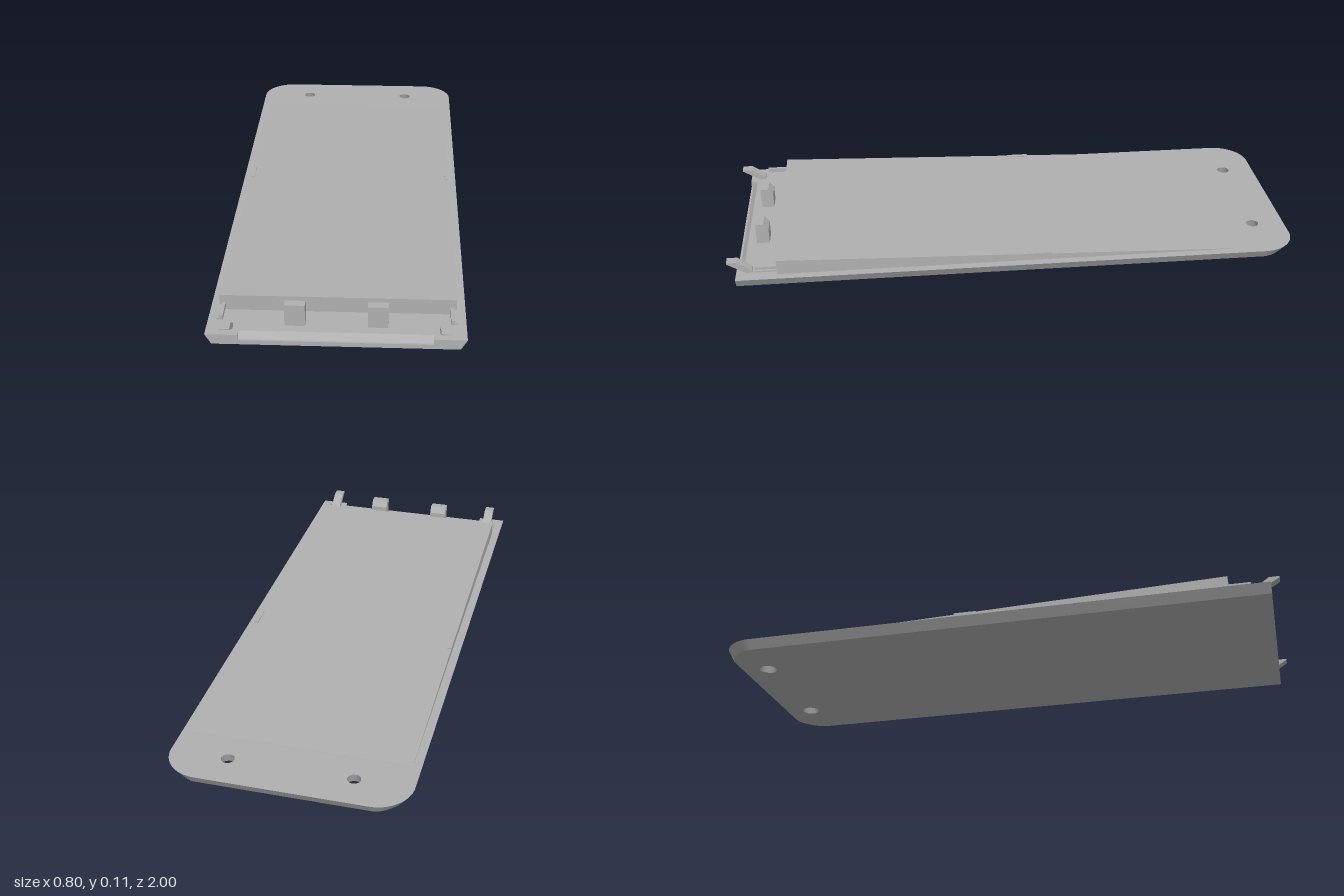
import * as THREE from 'three';
import { toCreasedNormals } from 'three/addons/utils/BufferGeometryUtils.js';

const HALF = 0.402, THICK = 0.034, FRONT = 0.97, LIP = 0.945;
const HOLE = { x: 0.208, z: -0.885, r: 0.022 };

export function createModel() {
  const group = new THREE.Group();
  const grey = new THREE.MeshStandardMaterial({ color: 0xb0b0b0 });
  grey.name = 'plastic grey';

  const add = (name, geometry) => {
    const mesh = new THREE.Mesh(geometry, grey);
    mesh.name = name;
    group.add(mesh);
    return mesh;
  };

  // Extrude a (z, y) profile across x, centred on cx
  const across = (name, points, width, cx = 0) => {
    const shape = new THREE.Shape(points.map(([z, y]) => new THREE.Vector2(z, y)));
    const g = new THREE.ExtrudeGeometry(shape, { depth: width, bevelEnabled: false });
    g.rotateY(-Math.PI / 2);
    g.translate(cx + width / 2, 0, 0);
    return add(name, g);
  };

  // Extrude a plan shape (x, -z) upward, draw in its lower rim, widen holes below
  const tapered = (name, shape) => {
    const g = new THREE.ExtrudeGeometry(shape, { depth: THICK, bevelEnabled: false, curveSegments: 20 });
    g.rotateX(-Math.PI / 2);
    const p = g.attributes.position;
    for (let i = 0; i < p.count; i++) {
      if (p.getY(i) > THICK / 2) continue;
      const x = p.getX(i), z = p.getZ(i), hx = Math.sign(x) * HOLE.x;
      if (Math.hypot(x - hx, z - HOLE.z) < HOLE.r * 1.2) {
        p.setX(i, hx + (x - hx) * 1.45);
        p.setZ(i, HOLE.z + (z - HOLE.z) * 1.45);
      } else {
        if (Math.abs(x) > 0.301) p.setX(i, x - Math.sign(x) * 0.02 * Math.min(1, (Math.abs(x) - 0.28) / 0.1));
        if (z < -0.85) p.setZ(i, z + 0.02 * Math.min(1, (-0.85 - z) / 0.12));
      }
    }
    g.computeVertexNormals();
    add(name, toCreasedNormals(g, 0.5));
  };

  // Base plate with rounded rear corners and two screw holes
  const r = 0.12;
  const plate = new THREE.Shape();
  plate.moveTo(-HALF, -LIP);
  plate.lineTo(HALF, -LIP);
  plate.lineTo(HALF, 1 - r);
  plate.absarc(HALF - r, 1 - r, r, 0, Math.PI / 2, false);
  plate.lineTo(-HALF + r, 1);
  plate.absarc(-HALF + r, 1 - r, r, Math.PI / 2, Math.PI, false);
  plate.lineTo(-HALF, -LIP);
  for (const s of [-1, 1]) {
    const hole = new THREE.Path();
    hole.absarc(s * HOLE.x, -HOLE.z, HOLE.r, 0, Math.PI * 2, true);
    plate.holes.push(hole);
  }
  tapered('basePlate', plate);

  // Front edge: sloping lip between two square corners
  across('frontLip', [[LIP, 0], [FRONT, 0], [FRONT, 0.015], [LIP + 0.018, 0.015], [LIP, THICK]], 0.6);
  for (const s of [-1, 1]) {
    const a = Math.min(s * 0.3, s * HALF), b = Math.max(s * 0.3, s * HALF);
    tapered('frontCorner', new THREE.Shape([
      new THREE.Vector2(a, -FRONT), new THREE.Vector2(b, -FRONT),
      new THREE.Vector2(b, -LIP), new THREE.Vector2(a, -LIP),
    ]));
  }

  // Long raised wedge falling to the plate at the rear
  across('wedge', [[-0.78, THICK - 0.002], [0.83, THICK - 0.002], [0.83, 0.087], [-0.78, THICK + 0.0005]], 0.746);

  for (const s of [-1, 1]) {
    // Upright catches
    across('catch', [[0.868, THICK], [0.913, THICK], [0.913, 0.108], [0.885, 0.108], [0.868, 0.085]], 0.064, s * 0.129);
    // Slanted hooks overhanging the front edge
    across('hook', [[0.915, 0.033], [0.935, 0.033], [1.0, 0.072], [1.0, 0.076], [0.965, 0.076], [0.915, 0.042]], 0.035, s * 0.337);
    // Stepped side arms reaching forward from the wedge
    across('sideArm', [[0.825, 0.05], [0.905, 0.05], [0.905, 0.06], [0.825, 0.06]], 0.012, s * 0.359);
    across('sideArmStep', [[0.825, 0.045], [0.905, 0.045], [0.905, 0.051], [0.825, 0.051]], 0.02, s * 0.363);
    // Small ridges halfway along the wedge edges
    across('edgeRidge', [[-0.12, 0.05], [-0.04, 0.05], [-0.04, 0.061], [-0.12, 0.061]], 0.015, s * 0.366);
  }
  return group;
}
